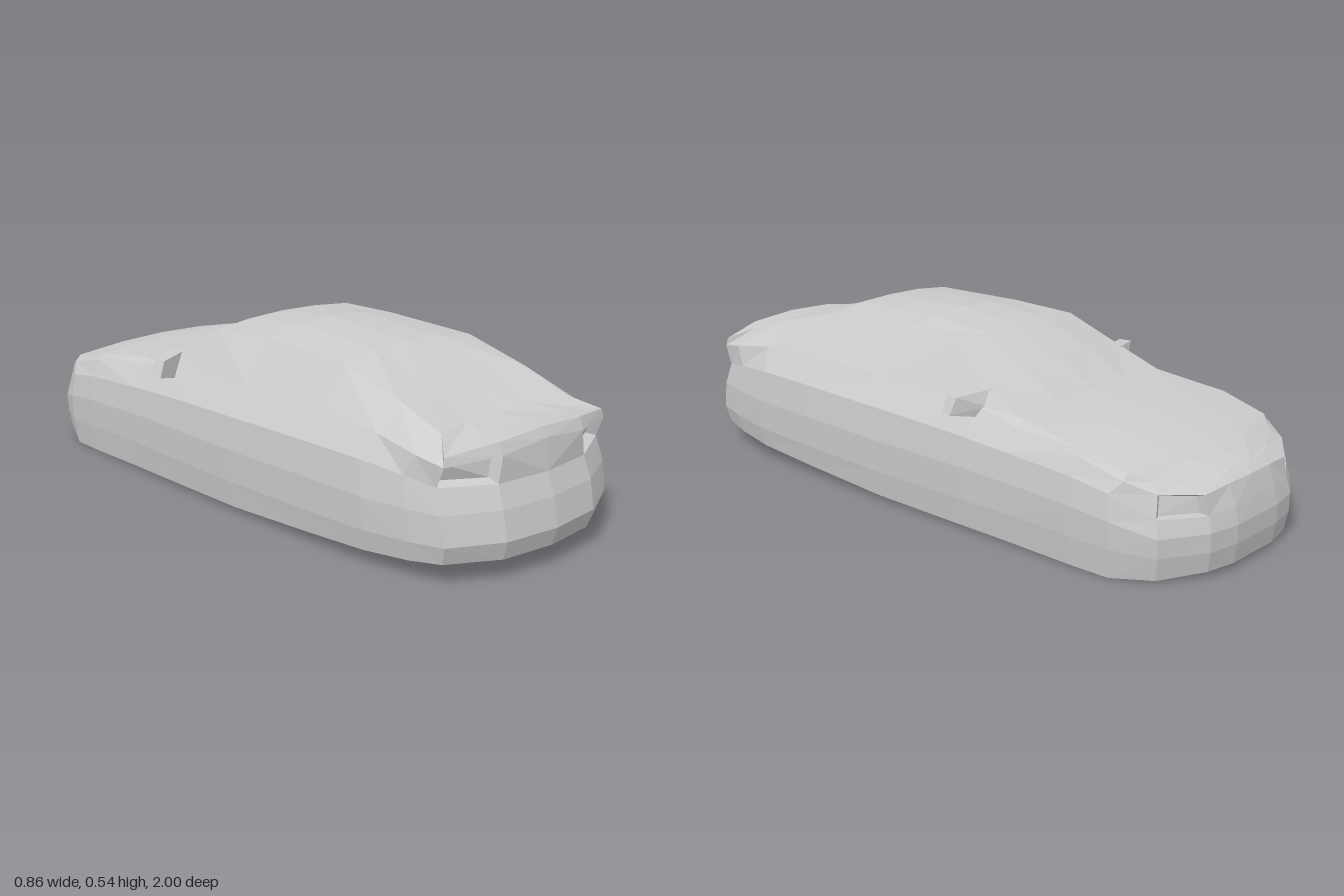
import * as THREE from 'three';
import { ConvexGeometry } from 'three/addons/geometries/ConvexGeometry.js';

const V = (x, y, z) => new THREE.Vector3(x, y, z);
const material = new THREE.MeshStandardMaterial({ color: 0xcccccc, flatShading: true });

// Half outline in plan [x, z], from the tail's middle round the side to the nose's middle
const plan = [[0, 1], [.18, .98], [.335, .9], [.362, .8], [.388, .65], [.395, .43], [.4, .1], [.4, -.12],
  [.4, -.27], [.396, -.42], [.392, -.65], [.385, -.78], [.33, -.9], [.2, -.98], [.1, -1], [0, -1]];

// A lower-body level: the outline scaled, at its own heights
const level = (ys, sx, zTail, zNose) =>
  plan.map(([x, z], i) => V(x * sx, ys[i], z * (z > 0 ? zTail : zNose)));

const bottom = level([.065, .065, .067, .056, .047, .035, .018, .016, .015, .012, .006, .003, .012, .02, .02, .02], .97, .983, .99);
const low = level([.12, .12, .12, .115, .11, .105, .1, .1, .1, .1, .095, .09, .08, .08, .08, .08], 1, 1, 1);
const wide = level([.205, .205, .205, .205, .205, .205, .2, .2, .2, .195, .185, .17, .135, .135, .135, .135], 1.01, .983, 1);
const belt = level([.27, .27, .275, .292, .305, .305, .3, .295, .29, .28, .265, .245, .185, .18, .185, .19], .985, .958, .987);

// Foot of the windows, running into the top of the lamps
const base = [[0, .36, .945], [.165, .345, .94], [.33, .335, .885], [.345, .352, .8], [.34, .375, .65],
  [.34, .385, .43], [.34, .385, .1], [.34, .38, -.12], [.345, .372, -.27], [.348, .345, -.42], [.362, .318, -.65],
  [.355, .28, -.8], [.31, .25, -.88], [.2, .238, -.955], [.1, .245, -.965], [0, .248, -.97]].map(p => V(...p));

// Edge of boot lid, roof and bonnet
const top = [[0, .388, .93], [.17, .38, .925], [.325, .36, .88], [.262, .395, .81], [.26, .45, .65],
  [.258, .505, .43], [.25, .515, .1], [.265, .505, -.12], [.31, .425, -.27], [.325, .365, -.42], [.35, .335, -.65],
  [.335, .3, -.8], [.29, .275, -.85], [.19, .265, -.9], [.1, .262, -.94], [0, .262, -.95]].map(p => V(...p));

// Centre line of the top [y, z]
const centre = [[.388, .93], [.388, .92], [.388, .86], [.395, .775], [.447, .645], [.528, .42], [.541, .09],
  [.52, -.13], [.45, -.275], [.378, -.41], [.357, -.64], [.325, -.79], [.305, -.845], [.29, -.89], [.27, -.935],
  [.262, -.95]].map(([y, z]) => V(0, y, z));

// Crowned point halfway between edge and centre
const crown = top.map((p, i) => {
  const m = p.clone().lerp(centre[i], .75);
  return m.setX(p.x / 2);
});
const keel = bottom.map(p => V(0, p.y, p.z));
const rows = [keel, bottom, low, wide, belt, base, top, crown, centre];

function createParts() {
  const parts = {};
  const tri = (name, a, b, c) => {
    const area = b.clone().sub(a).cross(c.clone().sub(a)).length();
    if (area < 1e-7) return;
    const list = parts[name] ??= [];
    for (const p of [a, b, c]) list.push(p.x, p.y, p.z);
    for (const p of [a, c, b]) list.push(-p.x, p.y, p.z); // mirrored side
  };
  const quad = (name, a, b, c, d) => { tri(name, a, b, c); tri(name, a, c, d); };

  // Recessed lamp: sloping walls round a sunken lens
  const pocket = (name, corners, depth) => {
    const [a, b, c, d] = corners;
    const mid = V(0, 0, 0);
    corners.forEach(p => mid.addScaledVector(p, .25));
    const normal = c.clone().sub(a).cross(d.clone().sub(b)).normalize();
    const inner = corners.map(p => p.clone().lerp(mid, .2).addScaledVector(normal, -depth));
    corners.forEach((p, i) => {
      const j = (i + 1) % 4;
      quad(name + 'Recesses', p, corners[j], inner[j], inner[i]);
    });
    quad(name + 'Lenses', ...inner);
  };

  for (let r = 0; r < rows.length - 1; r++) {
    for (let i = 0; i < plan.length - 1; i++) {
      const cell = [rows[r][i], rows[r][i + 1], rows[r + 1][i + 1], rows[r + 1][i]];
      if (r === 4 && i === 1) pocket('tailLight', cell, .03);
      else if (r === 4 && i === 12) pocket('headLight', cell, .025);
      else {
        let name = 'bodySides';
        if (r === 0) name = 'underside';
        else if (r === 5 && i >= 3 && i <= 8) name = 'sideWindows';
        else if (r >= 6) {
          if (i < 3) name = 'bootLid';
          else if (i < 5) name = 'rearWindow';
          else if (i < 7) name = 'roof';
          else if (i < 9) name = 'windscreen';
          else name = 'bonnet';
        }
        quad(name, ...cell);
      }
    }
  }
  return parts;
}

export function createModel() {
  const car = new THREE.Group();
  car.name = 'car';
  const add = (name, geometry) => {
    const mesh = new THREE.Mesh(geometry, material);
    mesh.name = name;
    car.add(mesh);
  };

  // Body panels
  for (const [name, list] of Object.entries(createParts())) {
    const geometry = new THREE.BufferGeometry();
    geometry.setAttribute('position', new THREE.Float32BufferAttribute(list, 3));
    geometry.computeVertexNormals();
    add(name, geometry);
  }

  // Door mirrors, swept back from the foot of the windscreen pillars
  for (const [side, s] of [['left', 1], ['right', -1]]) {
    add(side + 'Mirror', new ConvexGeometry([
      [.3, .418, -.295], [.3, .418, -.25], [.33, .372, -.3], [.33, .372, -.245],
      [.41, .408, -.255], [.405, .408, -.215], [.43, .358, -.245], [.425, .358, -.21],
      [.36, .345, -.28], [.36, .345, -.225],
    ].map(([x, y, z]) => V(s * x, y, z))));
  }
  return car;
}
